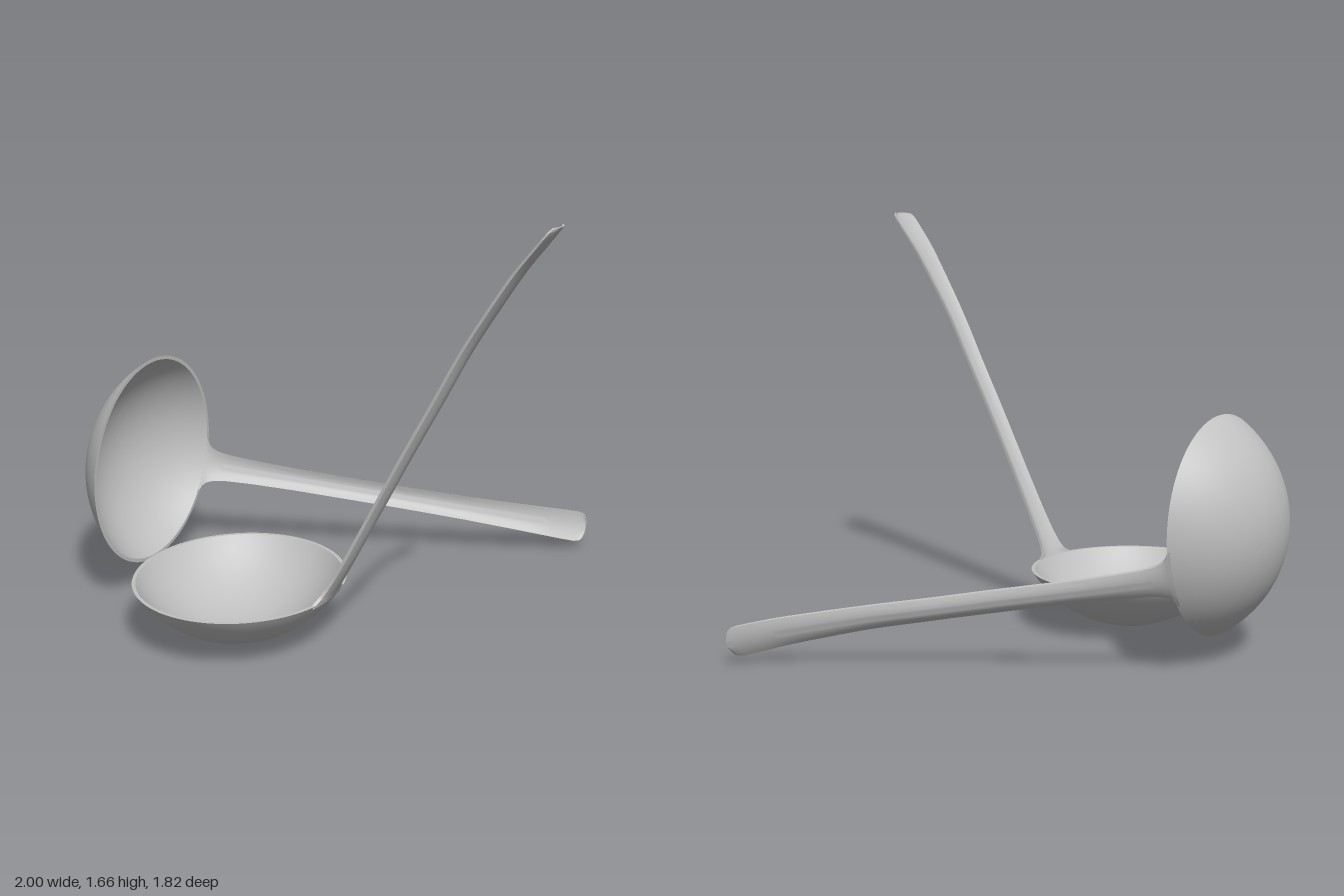
import * as THREE from 'three';
import { toCreasedNormals } from 'three/addons/utils/BufferGeometryUtils.js';

const DEPTH = 0.227, RX = 0.395, RZ = 0.418, WALL = 0.012;

// Double-walled spherical cap, stretched to a slightly oval rim
function bowlGeometry() {
  const R = (1 + (DEPTH / RZ) ** 2) * RZ * RZ / (2 * DEPTH);
  const maxA = Math.asin(RZ / R), cy = R - DEPTH, n = 28, pts = [];
  for (let i = 0; i <= n; i++) {
    const a = maxA * i / n;
    pts.push(new THREE.Vector2(R * Math.sin(a), cy - R * Math.cos(a)));
  }
  const r = R - WALL, innerA = Math.acos(cy / r);
  for (let i = n; i >= 0; i--) {
    const a = innerA * i / n;
    pts.push(new THREE.Vector2(r * Math.sin(a), cy - r * Math.cos(a)));
  }
  const g = new THREE.LatheGeometry(pts, 96);
  g.scale(RX / RZ, 1, 1);
  return toCreasedNormals(g, 0.7);
}

// Channelled handle lofted upward from the rim; origin at the rim centre
function handleGeometry() {
  const path = new THREE.CatmullRomCurve3([
    [0.39, -0.01], [0.40, 0.01], [0.465, 0.125], [0.575, 0.335], [0.705, 0.585], [0.82, 0.80],
    [0.92, 0.99], [1.01, 1.14], [1.10, 1.28], [1.16, 1.36], [1.215, 1.433],
  ].map(([x, y]) => new THREE.Vector3(x, y, 0)), false, 'centripetal');
  // half width by height above the rim
  const widths = [[-0.01, 0.115], [0, 0.105], [0.008, 0.086], [0.02, 0.073], [0.045, 0.062], [0.09, 0.055],
    [0.18, 0.050], [0.35, 0.046], [0.75, 0.046], [1.0, 0.049], [1.2, 0.056], [1.35, 0.063],
    [1.40, 0.064], [1.418, 0.060], [1.428, 0.051], [1.433, 0.038]];
  const halfWidth = y => {
    let i = 1;
    while (i < widths.length - 1 && widths[i][0] < y) i++;
    const [a, b] = [widths[i - 1], widths[i]];
    return THREE.MathUtils.lerp(a[1], b[1], THREE.MathUtils.clamp((y - a[0]) / (b[0] - a[0]), 0, 1));
  };
  // rows crowd together at the flared neck and the rounded tip
  const rows = 90, side = 12, ring = 2 * (side + 1), pos = [], idx = [];
  for (let j = 0; j <= rows; j++) {
    const u = (1 - Math.cos(Math.PI * j / rows)) / 2;
    const p = path.getPointAt(u), t = path.getTangentAt(u), w = halfWidth(p.y);
    const sag = 0.013 + 0.006 * Math.sin(Math.PI * u);
    const thick = THREE.MathUtils.lerp(WALL, 0.009, u);
    for (let k = 0; k < ring; k++) {
      const inner = k > side;
      const s = inner ? 1 - 2 * (k - side - 1) / side : -1 + 2 * k / side;
      const d = inner ? thick : 0;
      pos.push(p.x - sag * s * s - t.y * d, p.y + t.x * d * Math.min(1, (1 - u) * 8), w * s);
    }
  }
  for (let j = 0; j < rows; j++) {
    for (let k = 0; k < ring; k++) {
      const a = j * ring + k, b = j * ring + (k + 1) % ring;
      idx.push(a, a + ring, b, b, a + ring, b + ring);
    }
  }
  // close the tip
  const top = rows * ring;
  for (let k = 0; k < side; k++) {
    const a = top + k, b = a + 1, c = top + ring - 1 - k, d = c - 1;
    idx.push(a, c, b, b, c, d);
  }
  const g = new THREE.BufferGeometry();
  g.setAttribute('position', new THREE.Float32BufferAttribute(pos, 3));
  g.setIndex(idx);
  return toCreasedNormals(g, 0.7);
}

export function createModel() {
  const steel = new THREE.MeshStandardMaterial({ color: 0xc0c0c0, side: THREE.DoubleSide });
  steel.name = 'steel';
  const bowlGeo = bowlGeometry(), handleGeo = handleGeometry();

  const ladle = name => {
    const g = new THREE.Group();
    g.name = name;
    const bowl = new THREE.Mesh(bowlGeo, steel);
    bowl.name = 'bowl';
    const handle = new THREE.Mesh(handleGeo, steel);
    handle.name = 'handle';
    g.add(bowl, handle);
    return g;
  };

  // Ladle resting on its bowl
  const upright = ladle('uprightLadle');
  upright.position.set(-0.22, DEPTH, 0.4975);

  // Ladle tipped on its side, bowl opening toward +x
  const tipped = ladle('tippedLadle');
  const c = Math.cos(0.367), s = Math.sin(0.367);
  tipped.quaternion.setFromRotationMatrix(new THREE.Matrix4().makeBasis(
    new THREE.Vector3(0, -s, -c), new THREE.Vector3(1, 0, 0), new THREE.Vector3(0, -c, s)));
  tipped.position.set(-0.774, 0.513, 0.235);

  const model = new THREE.Group();
  model.name = 'ladles';
  model.add(upright, tipped);
  return model;
}
